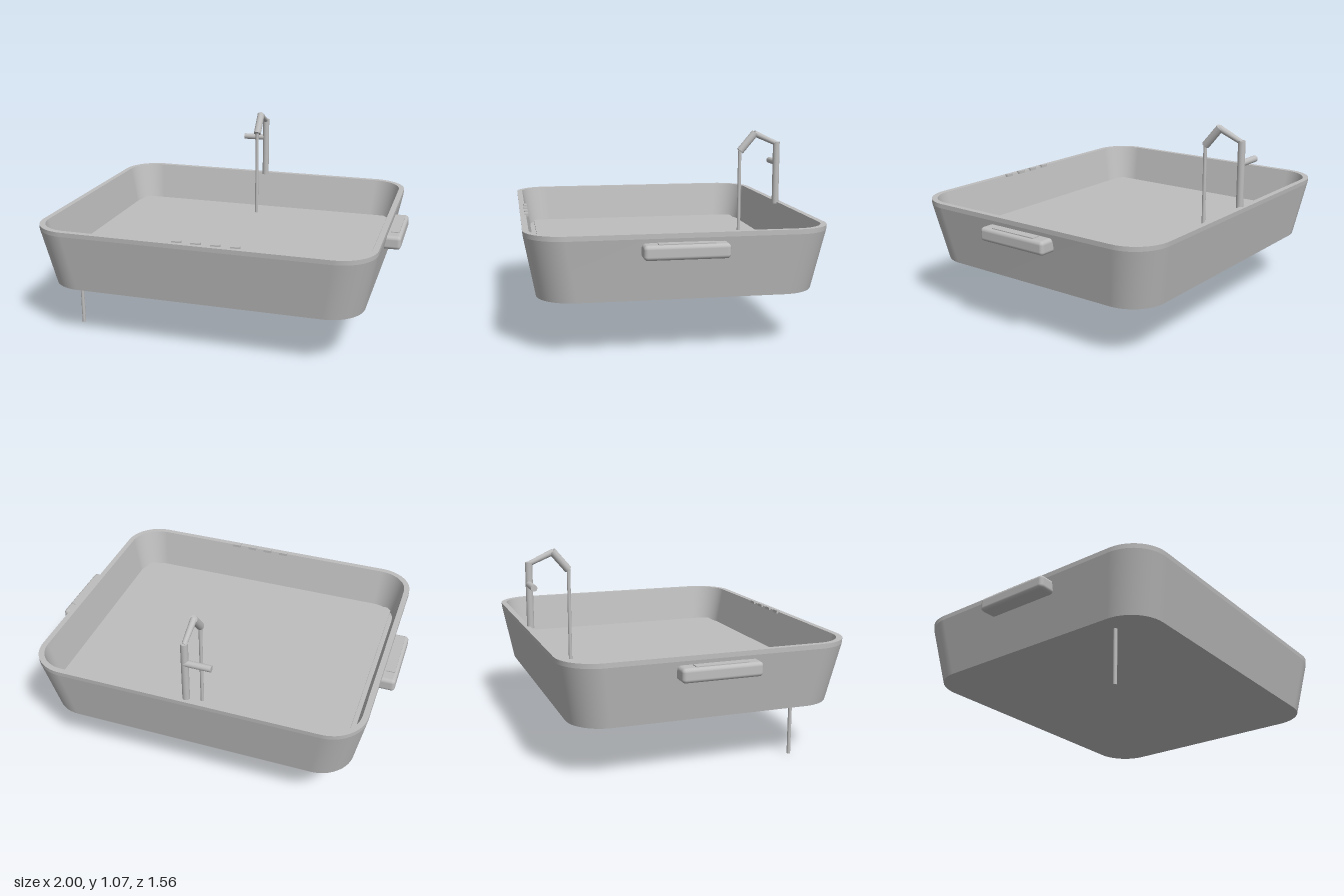
import * as THREE from 'three';
import { mergeGeometries } from 'three/addons/utils/BufferGeometryUtils.js';
import { RoundedBoxGeometry } from 'three/addons/geometries/RoundedBoxGeometry.js';

const ceramic = new THREE.MeshStandardMaterial({ name: 'plain grey', color: 0xbebebe });
const CORNER_STEPS = 12;

// Points of a rounded rectangle at height y
function ring([hx, hz, r, y]) {
  const points = [];
  const signs = [[1, 1], [-1, 1], [-1, -1], [1, -1]];
  signs.forEach(([sx, sz], q) => {
    for (let i = 0; i <= CORNER_STEPS; i++) {
      const t = (q + i / CORNER_STEPS) * Math.PI / 2;
      points.push(sx * (hx - r) + r * Math.cos(t), y, sz * (hz - r) + r * Math.sin(t));
    }
  });
  return points;
}

// Band of faces between two rings, with crisp edges to its neighbours
function band(lower, upper) {
  const n = 4 * (CORNER_STEPS + 1);
  const index = [];
  for (let i = 0; i < n; i++) {
    const j = (i + 1) % n;
    index.push(i, n + i, j, j, n + i, n + j);
  }
  const g = new THREE.BufferGeometry();
  g.setAttribute('position', new THREE.Float32BufferAttribute([...ring(lower), ...ring(upper)], 3));
  g.setIndex(index);
  g.computeVertexNormals();
  return g;
}

function rod(from, to, r0, r1 = r0, sides = 20) {
  const a = new THREE.Vector3(...from), b = new THREE.Vector3(...to);
  const dir = b.clone().sub(a);
  const g = new THREE.CylinderGeometry(r1, r0, dir.length(), sides);
  g.applyQuaternion(new THREE.Quaternion().setFromUnitVectors(new THREE.Vector3(0, 1, 0), dir.normalize()));
  const mid = a.add(b).multiplyScalar(0.5);
  return g.translate(mid.x, mid.y, mid.z);
}

export function createModel() {
  const model = new THREE.Group();
  model.name = 'sink';
  const add = (name, geometry, parent = model) => {
    const mesh = new THREE.Mesh(geometry, ceramic);
    mesh.name = name;
    parent.add(mesh);
    return mesh;
  };

  // Basin shell: underside, outer wall, lip, rim, inner wall, floor
  const profile = [
    [0, 0, 0, 0.295],
    [0.868, 0.72, 0.19, 0.295],
    [0.928, 0.78, 0.2, 0.615],
    [0.928, 0.782, 0.2, 0.64],
    [0.897, 0.75, 0.17, 0.64],
    [0.85, 0.703, 0.14, 0.42],
    [0, 0, 0, 0.42],
  ];
  add('basin', mergeGeometries(profile.slice(1).map((p, i) => band(profile[i], p))));

  // Flat square-cornered panel over the basin floor
  add('floorPanel', new THREE.BoxGeometry(1.65, 0.02, 1.35).translate(0, 0.42, 0));

  // Side handles with a raised strip on top
  for (const side of [1, -1]) {
    const handle = new THREE.Group();
    handle.name = side > 0 ? 'leftHandle' : 'rightHandle';
    add('grip', new RoundedBoxGeometry(0.11, 0.075, 0.43, 4, 0.02), handle);
    add('gripStrip', new THREE.BoxGeometry(0.045, 0.012, 0.28), handle).position.set(side * 0.015, 0.036, 0);
    handle.position.set(side * 0.945, 0.557, 0);
    model.add(handle);
  }

  // Tap: post, bent spout, side lever and water stream
  const tap = new THREE.Group();
  tap.name = 'tap';
  add('post', rod([0, 0.63, -0.745], [0, 1, -0.745], 0.02), tap);
  add('spoutArm', rod([0, 0.99, -0.745], [0, 1.052, -0.605], 0.014, 0.018), tap);
  add('spoutHead', rod([0, 1.055, -0.612], [0, 0.948, -0.522], 0.022), tap);
  add('lever', rod([0, 0.877, -0.748], [-0.145, 0.877, -0.748], 0.018), tap);
  add('stream', rod([0, 0.43, -0.52], [0, 0.95, -0.52], 0.01), tap);
  model.add(tap);

  // Row of buttons on the front rim
  for (let i = 0; i < 4; i++) {
    add('button' + (i + 1), new THREE.BoxGeometry(0.05, 0.016, 0.02)).position.set(-0.085 + i * 0.105, 0.64, 0.747);
  }

  // Drain pipe below the basin
  add('drainPipe', rod([-0.76, 0, 0.495], [-0.76, 0.31, 0.495], 0.01));

  return model;
}
